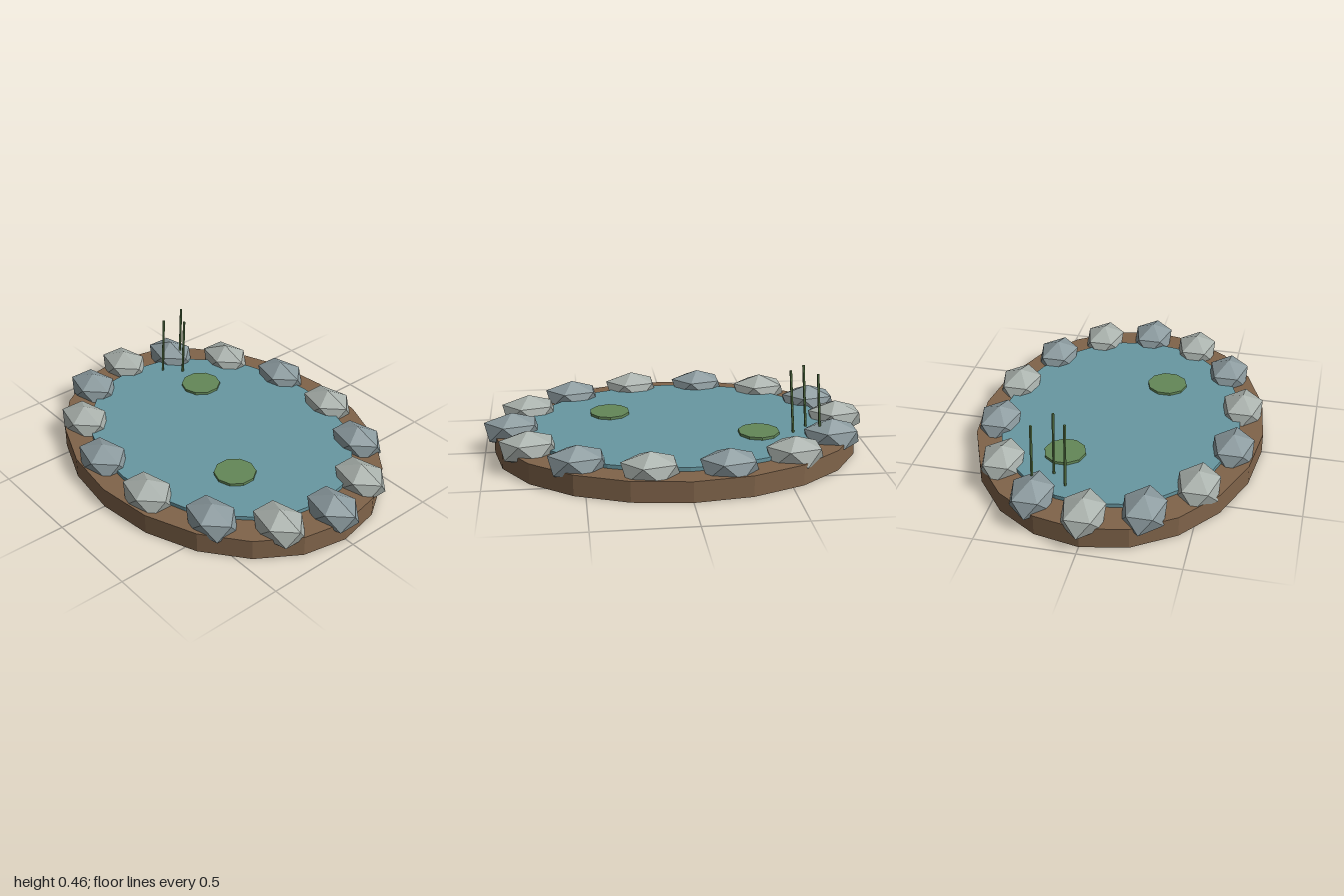
import * as THREE from 'three';

const mat = (color) => new THREE.MeshStandardMaterial({ color, flatShading: true });

export function createModel() {
  const group = new THREE.Group();
  const add = (name, geometry, material, x, y, z) => {
    const mesh = new THREE.Mesh(geometry, material);
    mesh.name = name;
    mesh.position.set(x, y, z);
    group.add(mesh);
    return mesh;
  };

  // Oval earth base
  const base = new THREE.CylinderGeometry(1, 1, 0.108, 20).scale(0.95, 1, 0.747);
  add('earthBase', base, mat(0x80644a), 0, 0.054, 0);

  // Water disc, slightly proud of the base
  const water = new THREE.CylinderGeometry(1, 1, 0.04, 24).scale(0.78, 1, 0.625);
  add('water', water, mat(0x6898a2), 0, 0.108, 0);

  // Rim stones: squashed icosahedra standing on one corner
  const stone = new THREE.IcosahedronGeometry(1, 0)
    .rotateZ(-Math.atan(2 / (1 + Math.sqrt(5))))
    .scale(0.162, 0.091, 0.12);
  const stoneMaterials = [mat(0x8b9a9e), mat(0xa9b1ac)];
  for (let i = 0; i < 14; i++) {
    const a = (i / 14) * Math.PI * 2;
    add('rimStone', stone, stoneMaterials[i % 2], 0.855 * Math.cos(a), 0.125, 0.63 * Math.sin(a));
  }

  // Floating lily pads
  const pad = new THREE.CylinderGeometry(0.107, 0.107, 0.02, 10);
  const padMaterial = mat(0x648858);
  for (const [x, z] of [[-0.405, -0.205], [0.34, 0.18]]) {
    add('lilyPad', pad, padMaterial, x, 0.132, z);
  }

  // Leaning reeds
  const reed = new THREE.CylinderGeometry(0.007, 0.007, 0.34, 5);
  const reedMaterial = mat(0x5c7c4a);
  for (const [x, z] of [[-0.695, -0.29], [-0.572, -0.215], [-0.655, -0.136]]) {
    add('reed', reed, reedMaterial, x, 0.292, z).rotation.z = -0.07;
  }

  return group;
}
